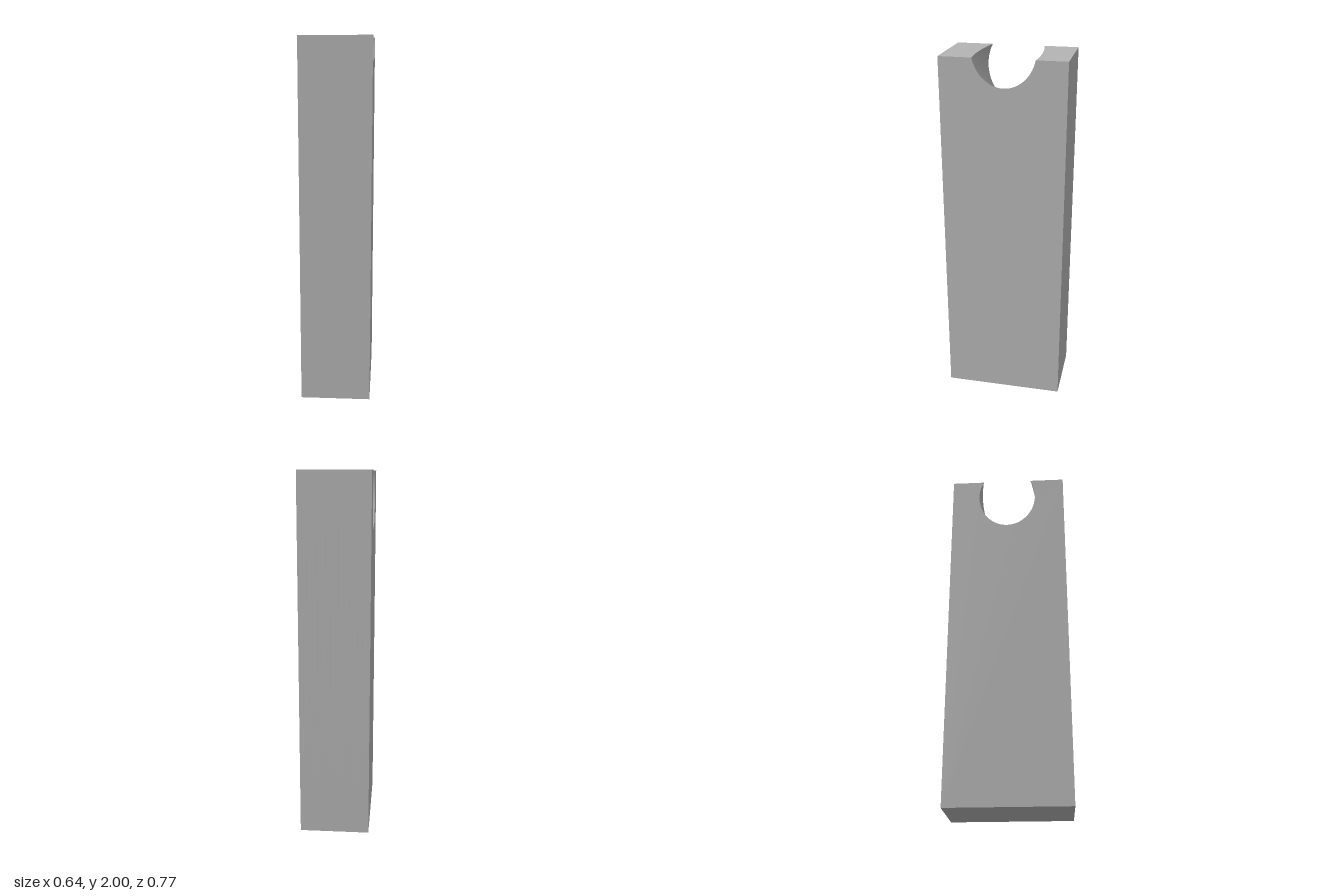
import * as THREE from 'three';
import { toCreasedNormals } from 'three/addons/utils/BufferGeometryUtils.js';

const HEIGHT = 2, HALF_WIDTH = 0.193, HALF_LENGTH = 0.3365;
const STATIONS = 16, ARC = 40;
const GROOVE_RADIUS = 0.17, GROOVE_CENTRE = 0.006;

// Outline of the post at t = 0..1 across its width, counter-clockwise seen from +x.
// The groove is an elliptical cut whose axis climbs from below the top to above it.
function outline(t) {
  const depth = THREE.MathUtils.lerp(0.111, -0.048, t);
  const rise = THREE.MathUtils.lerp(0.208, 0.198, t);
  const start = Math.asin(depth / rise);
  const points = [
    new THREE.Vector2(-HALF_LENGTH, 0),
    new THREE.Vector2(HALF_LENGTH, 0),
    new THREE.Vector2(HALF_LENGTH, HEIGHT),
  ];
  for (let k = 0; k <= ARC; k++) {
    const a = -start + (Math.PI + 2 * start) * (k / ARC);
    const y = k === 0 || k === ARC ? HEIGHT : HEIGHT - depth - rise * Math.sin(a);
    points.push(new THREE.Vector2(GROOVE_CENTRE + GROOVE_RADIUS * Math.cos(a), y));
  }
  points.push(new THREE.Vector2(-HALF_LENGTH, HEIGHT));
  return points;
}

// Post skinned through the outlines, closed by an end face on each side
function postGeometry() {
  const positions = [], indices = [], loops = [];
  for (let i = 0; i <= STATIONS; i++) {
    const t = i / STATIONS;
    const loop = outline(t);
    loops.push(loop);
    for (const p of loop) positions.push((2 * t - 1) * HALF_WIDTH, p.y, -p.x);
  }
  const n = loops[0].length;
  for (let i = 0; i < STATIONS; i++) {
    for (let j = 0; j < n; j++) {
      const a = i * n + j, b = i * n + (j + 1) % n;
      indices.push(a, b, b + n, a, b + n, a + n);
    }
  }
  const last = STATIONS * n;
  for (const [a, b, c] of THREE.ShapeUtils.triangulateShape(loops[0], [])) indices.push(a, c, b);
  for (const [a, b, c] of THREE.ShapeUtils.triangulateShape(loops[STATIONS], [])) {
    indices.push(last + a, last + b, last + c);
  }
  const geometry = new THREE.BufferGeometry();
  geometry.setAttribute('position', new THREE.Float32BufferAttribute(positions, 3));
  geometry.setIndex(indices);
  return toCreasedNormals(geometry, 0.5);
}

export function createModel() {
  const grey = new THREE.MeshStandardMaterial({ color: 0xb4b4b4 });
  grey.name = 'light grey';

  const post = new THREE.Mesh(postGeometry(), grey);
  post.name = 'notchedPost';
  post.rotation.y = -0.444; // the post stands turned on its base

  const model = new THREE.Group();
  model.name = 'notchedPostModel';
  model.add(post);
  return model;
}
